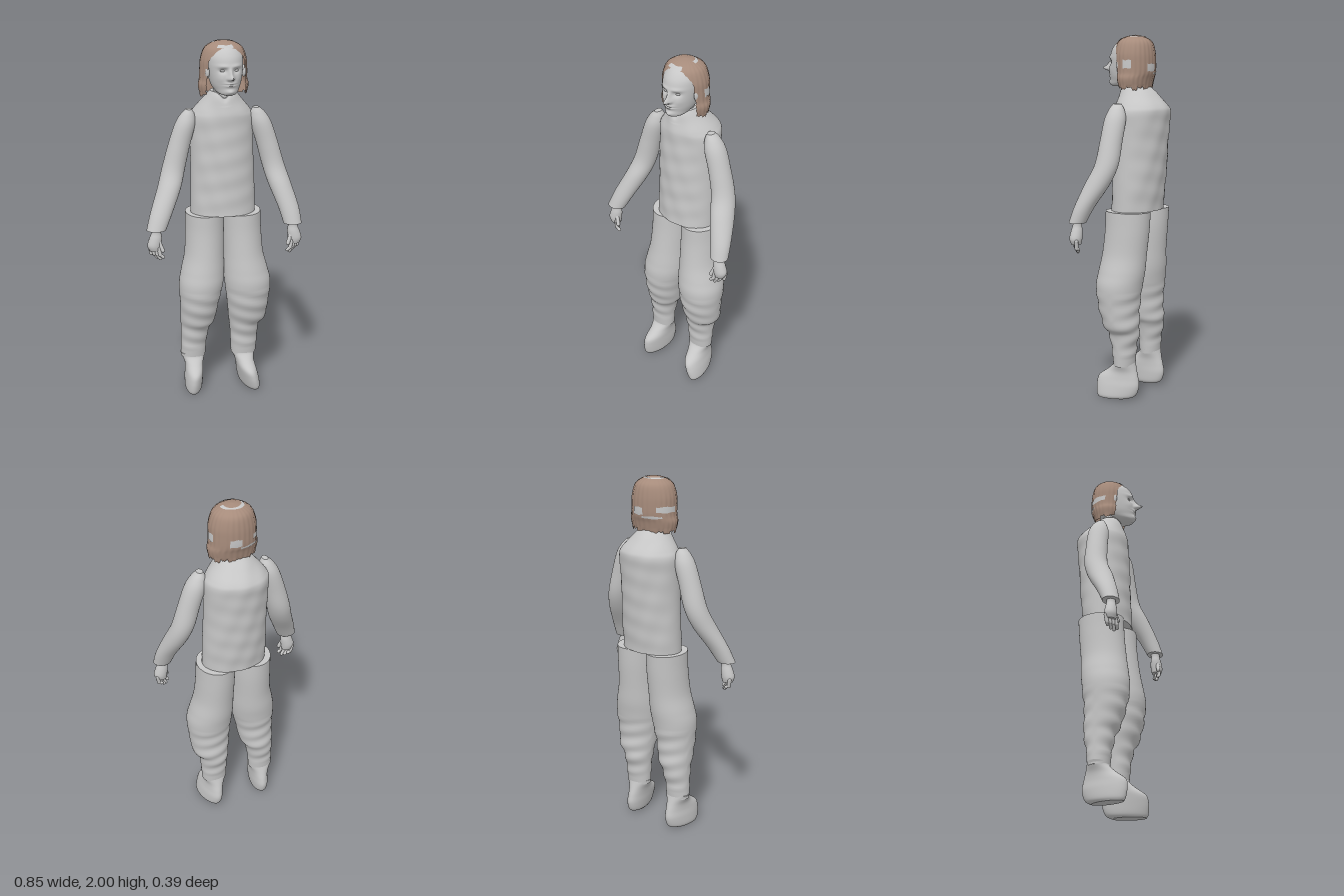
import * as THREE from 'three';

const grey = new THREE.MeshStandardMaterial({ color: 0xc6c6c6, side: THREE.DoubleSide });
grey.name = 'plain grey';
const brown = new THREE.MeshStandardMaterial({ color: 0xa68b7b, side: THREE.DoubleSide });
brown.name = 'hair brown';

const bump = (x, y, cx, cy, sx, sy) => Math.exp(-(((x - cx) / sx) ** 2) - ((y - cy) / sy) ** 2);

function makeMesh(name, geo, mat = grey) {
  const m = new THREE.Mesh(geo, mat);
  m.name = name;
  return m;
}

function buildGeometry(pos, idx) {
  const g = new THREE.BufferGeometry();
  g.setAttribute('position', new THREE.Float32BufferAttribute(pos, 3));
  g.setIndex(idx);
  g.computeVertexNormals();
  return g;
}

// Smooth sampler over rows of [y, centreX, centreZ, radiusX, radiusZ]
function sampler(rows) {
  const a = new THREE.CatmullRomCurve3(rows.map(r => new THREE.Vector3(r[1], r[0], r[2])), false, 'catmullrom', 0.5);
  const b = new THREE.CatmullRomCurve3(rows.map(r => new THREE.Vector3(r[3], r[4], 0)), false, 'catmullrom', 0.5);
  return (t, ang, grow = 0) => {
    const c = a.getPoint(t), r = b.getPoint(t);
    return new THREE.Vector3(c.x + (r.x + grow) * Math.sin(ang), c.y, c.z + (r.y + grow) * Math.cos(ang));
  };
}

// Closed loft from bottom to top with flat caps; warp may move each point
function loft(rows, { seg = 40, steps = 40, warp = null } = {}) {
  const at = sampler(rows), pos = [], idx = [];
  for (let i = 0; i <= steps; i++) for (let j = 0; j < seg; j++) {
    const p = at(i / steps, (j / seg) * Math.PI * 2);
    if (warp) warp(p);
    pos.push(p.x, p.y, p.z);
  }
  for (let i = 0; i < steps; i++) for (let j = 0; j < seg; j++) {
    const k = (j + 1) % seg, a = i * seg + j, b = i * seg + k;
    idx.push(a, b, b + seg, a, b + seg, a + seg);
  }
  for (const end of [0, steps]) {
    const start = pos.length / 3, mid = new THREE.Vector3();
    for (let j = 0; j < seg; j++) {
      const p = new THREE.Vector3().fromArray(pos, (end * seg + j) * 3);
      mid.addScaledVector(p, 1 / seg);
      pos.push(p.x, p.y, p.z);
    }
    pos.push(mid.x, mid.y, mid.z);
    for (let j = 0; j < seg; j++) {
      const a = start + j, b = start + (j + 1) % seg;
      idx.push(start + seg, end ? a : b, end ? b : a);
    }
  }
  return buildGeometry(pos, idx);
}

// Open grid, point(u, v) with u around and v downward
function sheet(point, nu, nv) {
  const pos = [], idx = [], w = nu + 1;
  for (let i = 0; i <= nv; i++) for (let j = 0; j <= nu; j++) pos.push(...point(j / nu, i / nv).toArray());
  for (let i = 0; i < nv; i++) for (let j = 0; j < nu; j++) {
    const a = i * w + j;
    idx.push(a, a + w, a + 1, a + 1, a + w, a + w + 1);
  }
  return buildGeometry(pos, idx);
}

// Rounded finger between two points
function finger(name, from, to, r) {
  const a = new THREE.Vector3(...from), d = new THREE.Vector3(...to).sub(a);
  const m = makeMesh(name, new THREE.CapsuleGeometry(r, d.length(), 5, 10));
  m.position.copy(a).addScaledVector(d, 0.5);
  m.quaternion.setFromUnitVectors(new THREE.Vector3(0, 1, 0), d.normalize());
  return m;
}

function buildHand(side) {
  const hand = new THREE.Group();
  hand.name = side > 0 ? 'leftHand' : 'rightHand';
  hand.add(makeMesh('palm', loft([
    [0.9, 0.385, 0.148, 0.03, 0.026], [0.93, 0.388, 0.148, 0.038, 0.033],
    [0.97, 0.38, 0.147, 0.034, 0.03], [1.0, 0.376, 0.146, 0.026, 0.024], [1.03, 0.374, 0.145, 0.027, 0.025],
  ], { seg: 20, steps: 16 })));
  for (let i = 0; i < 4; i++) {
    const x = 0.412 - i * 0.015, z = 0.13 + i * 0.012, drop = [0.02, 0.006, 0, 0.012][i];
    hand.add(finger('finger', [x, 0.92, z], [x - 0.008, 0.88, z + 0.004], 0.0105));
    hand.add(finger('fingertip', [x - 0.008, 0.88, z + 0.004], [x - 0.024, 0.853 + drop, z + 0.002], 0.009));
  }
  hand.add(finger('thumb', [0.365, 0.955, 0.16], [0.345, 0.905, 0.172], 0.011));
  hand.scale.x = side;
  return hand;
}

function buildHead() {
  const head = new THREE.Group();
  head.name = 'head';
  // Face relief: nose, eye sockets, brow, lips and chin
  const face = p => {
    if (p.z < 0.03) return;
    const { x, y } = p, ax = Math.abs(x);
    p.z += 0.042 * bump(x, y, 0, 1.822, 0.013, 0.013) + 0.02 * bump(x, y, 0, 1.843, 0.011, 0.022)
      + 0.01 * bump(ax, y, 0.013, 1.817, 0.008, 0.008)
      - 0.014 * bump(ax, y, 0.036, 1.857, 0.02, 0.013) + 0.006 * bump(ax, y, 0.035, 1.88, 0.03, 0.01)
      + 0.013 * bump(x, y, 0, 1.786, 0.026, 0.014) - 0.009 * bump(x, y, 0, 1.786, 0.028, 0.0035)
      + 0.014 * bump(x, y, 0, 1.748, 0.025, 0.014) + 0.004 * bump(ax, y, 0.05, 1.815, 0.02, 0.02);
  };
  head.add(makeMesh('faceAndSkull', loft([
    [1.725, 0, 0.1, 0.02, 0.03], [1.735, 0, 0.08, 0.05, 0.06], [1.76, 0, 0.047, 0.07, 0.095],
    [1.79, 0, 0.038, 0.082, 0.107], [1.84, 0, 0.03, 0.092, 0.114], [1.89, 0, 0.025, 0.096, 0.114],
    [1.93, 0, 0.02, 0.091, 0.105], [1.965, 0, 0.012, 0.068, 0.082], [1.985, 0, 0.005, 0.03, 0.04],
  ], { seg: 120, steps: 100, warp: face })));
  for (const s of [-1, 1]) {
    const eye = makeMesh('eye', new THREE.SphereGeometry(1, 20, 12));
    eye.scale.set(0.014, 0.0065, 0.008);
    eye.position.set(s * 0.036, 1.857, 0.12);
    const ear = makeMesh('ear', new THREE.SphereGeometry(1, 16, 12));
    ear.scale.set(0.012, 0.033, 0.02);
    ear.position.set(s * 0.1, 1.84, 0.045);
    head.add(eye, ear);
  }

  // Bobbed hair shell, open at the face with frayed edges
  const rows = [
    [2.0, 0, 0, 0, 0], [1.992, 0, 0, 0.048, 0.042], [1.975, 0, 0, 0.085, 0.078], [1.95, 0, 0, 0.108, 0.098],
    [1.9, 0, 0, 0.124, 0.108], [1.85, 0, -0.002, 0.127, 0.108], [1.8, 0, -0.003, 0.129, 0.105],
    [1.765, 0, 0, 0.137, 0.096], [1.715, 0, 0, 0.127, 0.084],
  ];
  const at = sampler(rows);
  const fray = n => ((Math.sin(n * 12.9898) * 43758.5453) % 1) * 0.5;
  head.add(makeMesh('hair', sheet((u, v) => {
    const open = 0.92 * THREE.MathUtils.smoothstep(v, 0.24, 0.52) + (v > 0.3 ? 0.07 * fray(Math.round(v * 48)) : 0);
    const ang = open + u * (Math.PI * 2 - 2 * open);
    const p = at(v, ang, v > 0.1 ? 0.0012 * Math.sin(ang * 26) : 0);
    if (v > 0.97) p.y += 0.02 * fray(Math.round(u * 96));
    return p;
  }, 96, 48), brown));

  // Scalp showing through: [angle from, angle to, row from, row to]
  const patches = [
    [1.4, 4.9, 0.95, 1.3], [-0.6, 0.35, 1.75, 2.35], [1.4, 1.85, 4.7, 5.55],
    [2.65, 3.15, 5.1, 5.9], [3.75, 4.75, 5.0, 5.6], [3.1, 4.0, 6.0, 6.35],
  ];
  for (const [a0, a1, r0, r1] of patches) {
    head.add(makeMesh('scalpPatch', sheet((u, v) => {
      const wave = 0.08 * Math.sin(u * 9 + a0) * (v - 0.5);
      const p = at((r0 + (r1 - r0) * v + wave) / 8, a0 + (a1 - a0) * u, 0.0025);
      p.y += 0.0015;
      return p;
    }, 24, 6)));
  }
  head.rotation.y = 0.1;
  head.position.x = 0.014;
  return head;
}

export function createModel() {
  const model = new THREE.Group();
  model.name = 'standingFigure';

  // Shirt with faint creases and a V neck
  const creases = p => {
    const w = 0.003 * Math.sin(p.y * 38 + p.x * 24) * Math.sin(p.x * 33 - p.y * 17);
    p.z += Math.sign(p.z) * w * Math.min(1, Math.abs(p.z) * 15);
    if (p.z > 0 && p.y > 1.66) p.y -= 0.035 * bump(p.x, p.y, 0.01, 1.735, 0.03, 0.05);
  };
  model.add(makeMesh('shirt', loft([
    [1.055, 0.014, -0.016, 0.18, 0.13], [1.2, 0.014, -0.025, 0.178, 0.135], [1.35, 0.012, -0.032, 0.174, 0.14],
    [1.5, 0.01, -0.04, 0.174, 0.143], [1.585, 0.01, -0.045, 0.175, 0.145], [1.625, 0.01, -0.04, 0.155, 0.137],
    [1.68, 0.01, -0.022, 0.11, 0.107], [1.715, 0.01, -0.007, 0.083, 0.083], [1.735, 0.01, 0, 0.068, 0.068],
  ], { seg: 72, steps: 80, warp: creases })));
  model.add(makeMesh('neck', loft([
    [1.66, 0.01, 0.005, 0.06, 0.06], [1.72, 0.01, 0.008, 0.053, 0.055], [1.79, 0.012, 0.02, 0.055, 0.06],
  ])));

  // Sleeves bend forward at the elbow
  const sleeve = [
    [1.015, 0.145, 0.045], [1.1, 0.112, 0.054], [1.22, 0.055, 0.068], [1.32, 0.017, 0.064],
    [1.44, 0.008, 0.06], [1.55, 0.005, 0.058], [1.605, 0.005, 0.043], [1.638, 0.007, 0.024],
  ];
  const sleeveX = {
    right: [[-0.375, 0.053], [-0.342, 0.06], [-0.292, 0.064], [-0.262, 0.063], [-0.23, 0.06], [-0.197, 0.056], [-0.182, 0.04], [-0.173, 0.016]],
    left: [[0.375, 0.05], [0.357, 0.057], [0.318, 0.063], [0.288, 0.062], [0.255, 0.06], [0.22, 0.058], [0.203, 0.042], [0.192, 0.018]],
  };
  for (const name of ['right', 'left']) {
    const rows = sleeve.map(([y, z, rz], i) => [y, sleeveX[name][i][0], z, sleeveX[name][i][1], rz]);
    model.add(makeMesh(name + 'Sleeve', loft(rows)), buildHand(name === 'left' ? 1 : -1));
  }

  // Baggy trouser legs gathered below the knee
  const legZ = [
    [0.19, 0, 0.057], [0.29, 0, 0.068], [0.37, 0, 0.085], [0.42, 0.008, 0.097], [0.52, 0.022, 0.112],
    [0.64, 0.022, 0.128], [0.72, 0.012, 0.13], [0.82, 0.001, 0.126], [0.95, -0.012, 0.126], [1.055, -0.017, 0.128],
  ];
  const legX = {
    right: [[-0.162, 0.07], [-0.157, 0.074], [-0.148, 0.083], [-0.135, 0.098], [-0.127, 0.108], [-0.116, 0.124], [-0.106, 0.121], [-0.095, 0.11], [-0.09, 0.107], [-0.09, 0.105]],
    left: [[0.133, 0.072], [0.135, 0.078], [0.136, 0.085], [0.15, 0.106], [0.152, 0.118], [0.15, 0.13], [0.14, 0.124], [0.128, 0.111], [0.122, 0.107], [0.12, 0.105]],
  };
  const folds = p => { if (p.y < 0.6 && p.y > 0.25) p.z += 0.004 * Math.sin(p.y * 70 + p.x * 15) * Math.sign(p.z); };
  for (const name of ['right', 'left']) {
    const rows = legZ.map(([y, z, rz], i) => [y, legX[name][i][0], z, legX[name][i][1], rz]);
    model.add(makeMesh(name + 'TrouserLeg', loft(rows, { seg: 48, steps: 70, warp: folds })));
  }

  // Soft shoes, toes turned slightly outward
  const shoe = [
    [0, 0.05, 0.04, 0.09], [0.02, 0.038, 0.05, 0.112], [0.07, 0.033, 0.053, 0.124], [0.115, 0.032, 0.052, 0.117],
    [0.155, 0.013, 0.054, 0.086], [0.19, 0, 0.066, 0.062], [0.212, 0, 0.073, 0.056],
  ];
  const shoeX = {
    right: [-0.163, -0.163, -0.162, -0.16, -0.16, -0.162, -0.163],
    left: [0.155, 0.153, 0.147, 0.14, 0.134, 0.132, 0.132],
  };
  for (const [name, s] of [['right', -0.5], ['left', 1]]) {
    const rows = shoe.map(([y, z, rx, rz], i) => [y, shoeX[name][i], z, rx, rz]);
    const turn = p => { p.x += s * 0.2 * p.z * (1 - p.y / 0.212); };
    model.add(makeMesh(name + 'Shoe', loft(rows, { warp: turn })));
  }

  model.add(buildHead());
  return model;
}
